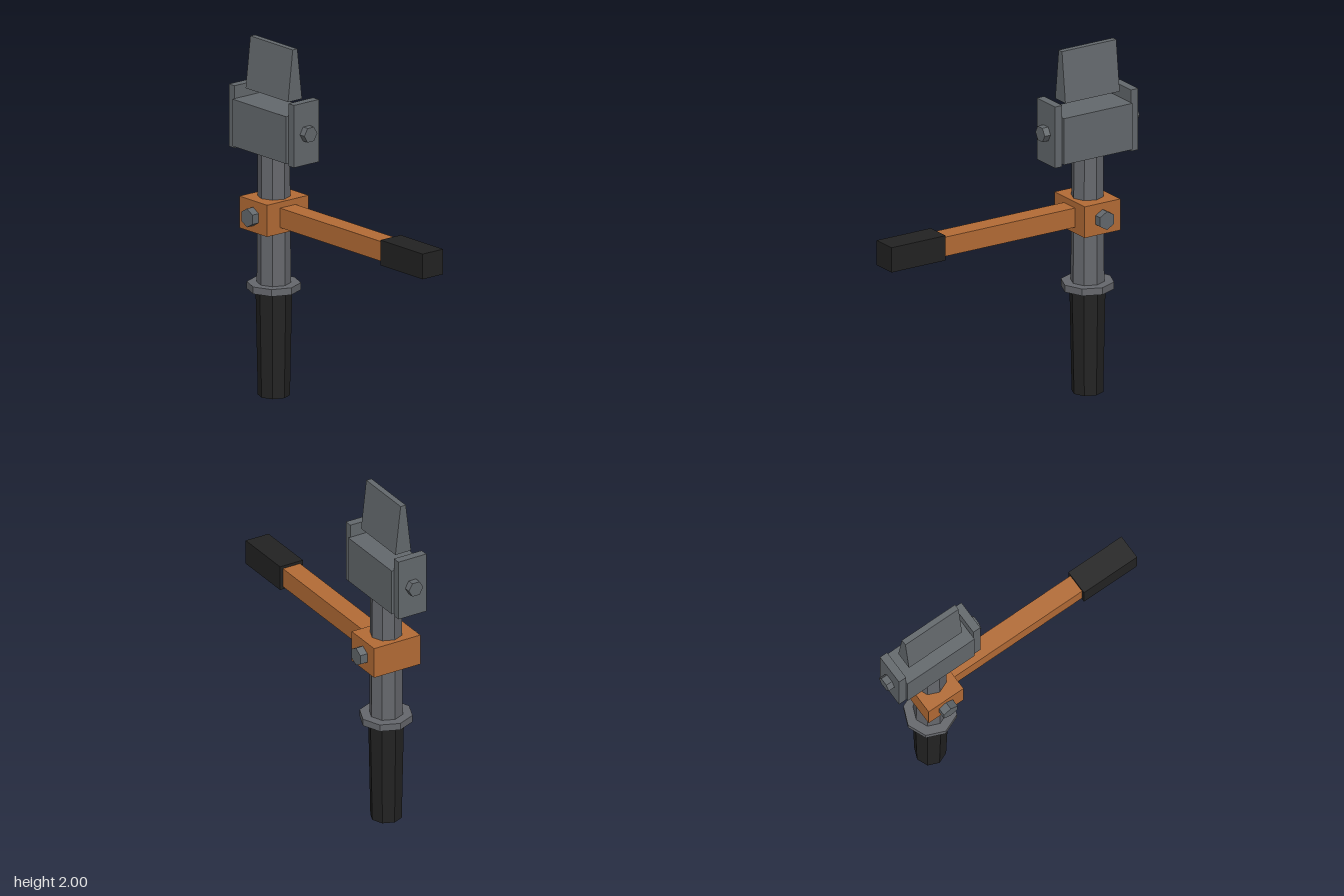
import * as THREE from 'three';

const POST_Z = -0.51;

function flat(name, color) {
  const m = new THREE.MeshStandardMaterial({ color, flatShading: true });
  m.name = name;
  return m;
}

export function createModel() {
  const group = new THREE.Group();
  const headSteel = flat('head steel', 0x63686c);
  const postSteel = flat('post steel', 0x65676c);
  const orange = flat('orange paint', 0xb36b35);
  const rubber = flat('black rubber', 0x222222);

  function add(name, geometry, material, x, y, z) {
    const mesh = new THREE.Mesh(geometry, material);
    mesh.name = name;
    mesh.position.set(x, y, z);
    group.add(mesh);
    return mesh;
  }
  // Box given by half width and its y and z ranges
  const box = (name, material, hx, y0, y1, z0, z1) =>
    add(name, new THREE.BoxGeometry(2 * hx, y1 - y0, z1 - z0), material, 0, (y0 + y1) / 2, (z0 + z1) / 2);
  // Octagonal upright section
  const upright = (name, material, rTop, rBottom, y0, y1) =>
    add(name, new THREE.CylinderGeometry(rTop, rBottom, y1 - y0, 8), material, 0, (y0 + y1) / 2, POST_Z);
  const hex = (r, length) => new THREE.CylinderGeometry(r, r, length, 6).rotateY(Math.PI / 2);

  // Upright: grip, collar and post
  upright('lowerGrip', rubber, 0.1, 0.088, 0, 0.6);
  upright('collar', postSteel, 0.148, 0.148, 0.6, 0.64);
  upright('post', postSteel, 0.088, 0.094, 0.6, 1.39);

  // Side handle with its clamp
  box('clamp', orange, 0.148, 0.95, 1.13, -0.626, -0.393);
  box('sideArm', orange, 0.055, 0.985, 1.096, -0.4, 0.48);
  box('sideGrip', rubber, 0.073, 0.969, 1.112, 0.467, 0.822);

  // Hammer head: body between two end plates
  box('headBody', headSteel, 0.103, 1.38, 1.647, -0.735, -0.287);

  for (const s of [-1, 1]) {
    add('clampBolt', hex(0.053, 0.06).rotateZ(Math.PI / 2), headSteel, s * 0.163, 1.04, POST_Z);
    const inner = POST_Z + s * 0.225;
    const outer = POST_Z + s * 0.272;
    box('endPlate', headSteel, 0.089, 1.366, 1.72, Math.min(inner, outer), Math.max(inner, outer));
    add('headBolt', hex(0.046, 0.06).rotateX(Math.PI / 2), headSteel, 0, 1.545, POST_Z + s * 0.28);
  }

  // Wedge blade above the head, narrowing upward
  const blade = new THREE.BoxGeometry(0.1, 0.29, 0.355);
  const p = blade.attributes.position;
  for (let i = 0; i < p.count; i++) {
    if (p.getY(i) > 0) p.setX(i, p.getX(i) * 0.33);
  }
  blade.computeVertexNormals();
  add('blade', blade, headSteel, 0, 1.855, POST_Z);

  return group;
}
